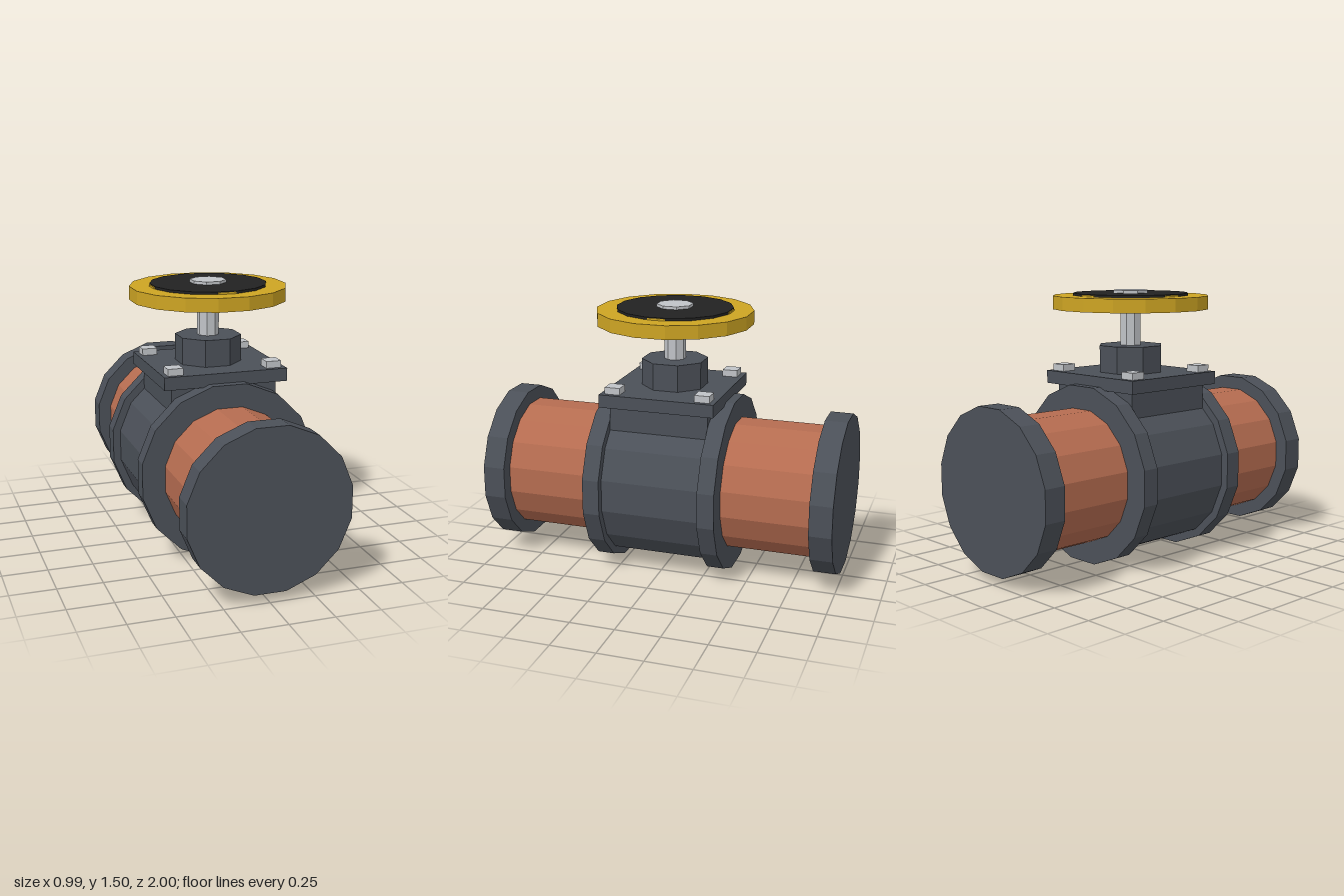
import * as THREE from 'three';

const material = (name, color) => {
  const m = new THREE.MeshStandardMaterial({ color });
  m.name = name;
  m.flatShading = true;
  return m;
};

export function createModel() {
  const iron = material('dark iron', 0x4b5058);
  const copper = material('copper', 0xb56c50);
  const yellow = material('yellow paint', 0xcda423);
  const black = material('black', 0x222222);
  const steel = material('light steel', 0xc0c3c7);

  const model = new THREE.Group();
  model.name = 'gateValve';

  const add = (parent, name, geometry, mat, x = 0, y = 0, z = 0) => {
    const mesh = new THREE.Mesh(geometry, mat);
    mesh.name = name;
    mesh.position.set(x, y, z);
    parent.add(mesh);
    return mesh;
  };

  // Upright prism whose flat sides face the axes; flat = centre-to-side distance
  const prism = (flat, height, sides) =>
    new THREE.CylinderGeometry(flat / Math.cos(Math.PI / sides), flat / Math.cos(Math.PI / sides), height, sides)
      .rotateY(Math.PI / sides);
  const column = (parent, name, flat, y0, y1, sides, mat) =>
    add(parent, name, prism(flat, y1 - y0, sides), mat, 0, (y0 + y1) / 2, 0);

  // Horizontal pipe run along z
  const axisY = 0.493;
  const barrel = (name, flat, z0, z1, mat) =>
    add(model, name, prism(flat, z1 - z0, 16).rotateX(Math.PI / 2), mat, 0, axisY, (z0 + z1) / 2);

  barrel('valveBody', 0.45, -0.28, 0.28, iron);
  for (const [label, s] of [['front', 1], ['back', -1]]) {
    const run = (part, flat, a, b, mat) =>
      barrel(label + part, flat, Math.min(a * s, b * s), Math.max(a * s, b * s), mat);
    run('BodyFlange', 0.493, 0.28, 0.375, iron);
    run('Pipe', 0.366, 0.37, 0.88, copper);
    run('EndFlange', 0.441, 0.875, 1, iron);
  }

  // Neck, cover plate and its corner bolts
  add(model, 'neck', new THREE.BoxGeometry(0.6, 0.35, 0.56), iron, 0, 0.797, 0);
  add(model, 'coverPlate', new THREE.BoxGeometry(0.7, 0.072, 0.65), iron, 0, 1.006, 0);
  for (const x of [-0.281, 0.281]) {
    for (const z of [-0.255, 0.255]) {
      add(model, 'coverBolt', new THREE.BoxGeometry(0.086, 0.04, 0.086), steel, x, 1.06, z);
    }
  }

  // Bonnet and stem
  column(model, 'bonnet', 0.172, 1.04, 1.192, 8, iron);
  column(model, 'stem', 0.056, 1.19, 1.4, 8, steel);

  // Handwheel
  const wheel = new THREE.Group();
  wheel.name = 'handwheel';
  model.add(wheel);
  column(wheel, 'wheelRim', 0.43, 1.395, 1.47, 16, yellow);
  column(wheel, 'wheelDisc', 0.319, 1.391, 1.484, 16, black);
  column(wheel, 'wheelHub', 0.094, 1.388, 1.5, 8, steel);
  // Spoke ends just showing beyond the disc
  add(wheel, 'spokeAcross', new THREE.BoxGeometry(0.65, 0.05, 0.1), yellow, 0, 1.455, 0);
  add(wheel, 'spokeAlong', new THREE.BoxGeometry(0.1, 0.05, 0.65), yellow, 0, 1.455, 0);

  return model;
}
